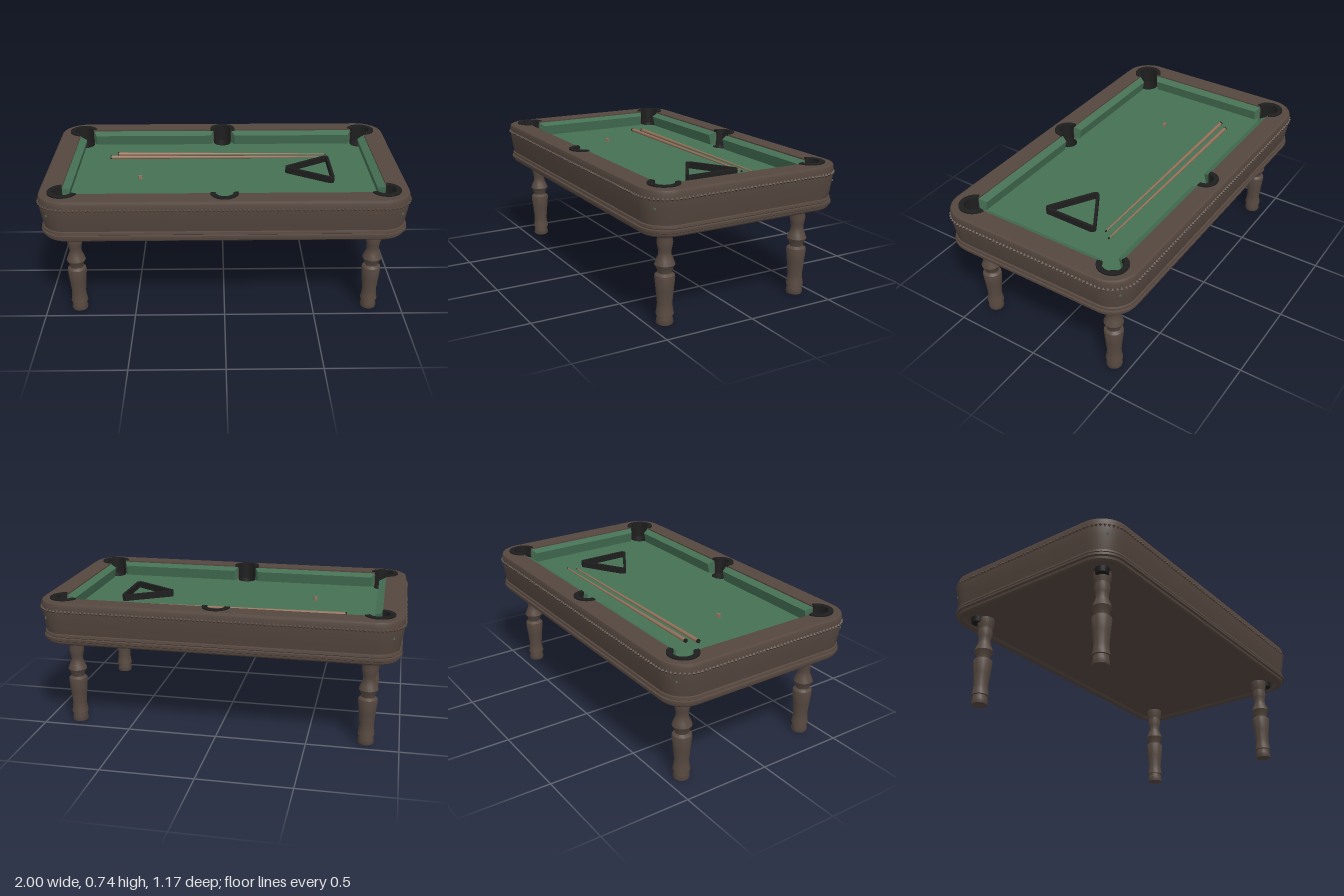
import * as THREE from 'three';
import { mergeGeometries, toCreasedNormals } from 'three/addons/utils/BufferGeometryUtils.js';

const HX = 0.99, HZ = 0.573, RADIUS = 0.15;   // outer body half sizes and corner radius
const BED_X = 0.87, BED_Z = 0.46;             // playing area half sizes
const TOP = 0.737, BED_Y = 0.65;

const wood = new THREE.MeshStandardMaterial({ color: 0x55473f, side: THREE.DoubleSide });
const cloth = new THREE.MeshStandardMaterial({ color: 0x457054 });
const black = new THREE.MeshStandardMaterial({ color: 0x1e1e1e, side: THREE.DoubleSide });
const cueWood = new THREE.MeshStandardMaterial({ color: 0x94715a });
wood.name = 'darkWood'; cloth.name = 'greenCloth'; black.name = 'black'; cueWood.name = 'cueWood';

// Rounded rectangle outline, counter-clockwise, pulled in by inset
function outline(inset, n = 10) {
  const r = RADIUS - inset, pts = [];
  [[1, 1], [-1, 1], [-1, -1], [1, -1]].forEach(([sx, sy], q) => {
    for (let i = 0; i <= n; i++) {
      const a = (q + i / n) * Math.PI / 2;
      pts.push(new THREE.Vector2(sx * (HX - RADIUS) + r * Math.cos(a), sy * (HZ - RADIUS) + r * Math.sin(a)));
    }
  });
  return pts;
}

// Skin through outlines at [height, inset] levels, listed downwards
function loft(levels) {
  const pos = [], index = [], n = outline(0).length;
  levels.forEach(([y, inset]) => outline(inset).forEach(p => pos.push(p.x, y, -p.y)));
  for (let j = 0; j < levels.length - 1; j++) {
    for (let i = 0; i < n; i++) {
      const k = (i + 1) % n, u = j * n, d = u + n;
      index.push(d + i, d + k, u + k, d + i, u + k, u + i);
    }
  }
  const g = new THREE.BufferGeometry();
  g.setAttribute('position', new THREE.Float32BufferAttribute(pos, 3));
  g.setIndex(index);
  return toCreasedNormals(g, 0.5);
}

// Flat shape (x, -z) extruded upwards from height y
function slab(shape, y, depth) {
  return new THREE.ExtrudeGeometry(shape, { depth, bevelEnabled: false, curveSegments: 16 })
    .rotateX(-Math.PI / 2).translate(0, y, 0);
}

// Six pockets, counter-clockwise, with the arc that cuts into the rail
function makePockets() {
  const cx = 0.857, cy = 0.437, r = 0.062;
  const ex = BED_X - cx, ey = BED_Z - cy;
  const a0 = -Math.acos(ex / r), a1 = Math.PI - Math.asin(ey / r);
  const half = [
    { x: cx, y: cy, r, a0, a1 },
    { x: 0, y: 0.465, r: 0.055, a0: -0.09, a1: Math.PI + 0.09 },
    { x: -cx, y: cy, r, a0: Math.PI - a1, a1: Math.PI - a0 },
  ];
  return [...half, ...half.map(p => ({ x: -p.x, y: -p.y, r: p.r, a0: p.a0 + Math.PI, a1: p.a1 + Math.PI }))];
}

// Cushion with bevelled ends and an undercut nose towards +z
function cushion(a, b) {
  const g = new THREE.BoxGeometry(1, 1, 1), p = g.attributes.position;
  for (let i = 0; i < p.count; i++) {
    const nose = p.getZ(i) > 0, up = p.getY(i) > 0, cut = nose ? 0.02 : 0;
    p.setXYZ(i, p.getX(i) < 0 ? a + cut : b - cut,
      up ? (nose ? 0.712 : 0.73) : BED_Y - 0.002,
      nose ? (up ? 0.04 : 0.025) : -0.002);
  }
  g.computeVertexNormals();
  return g;
}

// Triangle with round corners
function roundTriangle(Type, r) {
  const v = [[0.38, 0], [0.605, -0.137], [0.605, 0.137]], s = new Type();
  const normal = (p, q) => Math.atan2(q[1] - p[1], q[0] - p[0]) - Math.PI / 2;
  v.forEach((c, i) => s.absarc(c[0], c[1], r, normal(v[(i + 2) % 3], c), normal(c, v[(i + 1) % 3]), false));
  s.closePath();
  return s;
}

export function createModel() {
  const model = new THREE.Group();
  const add = (name, geometry, material, parent = model) => {
    const m = new THREE.Mesh(geometry, material);
    m.name = name;
    parent.add(m);
    return m;
  };
  const pockets = makePockets();

  // Cabinet sides with mouldings, folding under to the rim
  add('cabinet', loft([
    [TOP, 0.014], [0.733, 0.005], [0.722, 0.001], [0.69, 0], [0.64, 0.006], [0.59, 0.014], [0.56, 0.02],
    [0.557, 0.012], [0.545, 0.01], [0.54, 0.017], [0.537, 0.006], [0.525, 0.006], [0.52, 0.016],
    [0.508, 0.018], [0.5, 0.026], [0.5, 0.055], [0.515, 0.065],
  ]), wood);
  add('undersidePanel', new THREE.ShapeGeometry(new THREE.Shape(outline(0.06)))
    .rotateX(Math.PI / 2).translate(0, 0.514, 0), wood);

  // Top rail, cut out for the playing area and pockets
  const railShape = new THREE.Shape(outline(0.014));
  const opening = new THREE.Path();
  pockets.forEach(p => opening.absarc(p.x, p.y, p.r, p.a0, p.a1, false));
  opening.closePath();
  railShape.holes.push(opening);
  add('topRail', slab(railShape, BED_Y - 0.005, TOP - BED_Y + 0.005), wood);

  // Row of small studs round the cabinet
  const path = new THREE.Shape(outline(0));
  path.closePath();
  add('studTrim', mergeGeometries(path.getSpacedPoints(270).slice(0, -1).map(p =>
    new THREE.OctahedronGeometry(0.0105).translate(p.x, 0.692, -p.y))), wood);

  // Cloth bed with pocket holes
  const bed = new THREE.Shape([[-0.94, -0.535], [0.94, -0.535], [0.94, 0.535], [-0.94, 0.535]]
    .map(p => new THREE.Vector2(...p)));
  pockets.forEach(p => bed.holes.push(new THREE.Path().absarc(p.x, p.y, p.r - 0.002, 0, Math.PI * 2, true)));
  add('bed', slab(bed, BED_Y - 0.01, 0.01), cloth);

  // Cushions: two on each long side, one on each end
  for (const turn of [0, Math.PI]) {
    for (const [a, b] of [[-0.8, -0.055], [0.055, 0.8]]) {
      add('longCushion', cushion(a, b).translate(0, 0, -BED_Z).rotateY(turn), cloth);
    }
    add('endCushion', cushion(-0.375, 0.375).translate(0, 0, -BED_X).rotateY(turn + Math.PI / 2), cloth);
  }

  // Pockets: collar on the rail, liner above the bed, basket below
  pockets.forEach(p => {
    const g = new THREE.Group();
    g.name = 'pocket';
    g.position.set(p.x, 0, -p.y);
    const collar = new THREE.Shape();
    collar.absarc(0, 0, p.r + 0.02, p.a0, p.a1, false);
    collar.absarc(0, 0, p.r - 0.008, p.a1, p.a0, true);
    collar.closePath();
    add('pocketCollar', slab(collar, TOP - 0.015, 0.022), black, g);
    add('pocketLiner', new THREE.CylinderGeometry(p.r - 0.003, p.r - 0.003, 0.1, 20, 1, true,
      p.a0 + Math.PI / 2, p.a1 - p.a0).translate(0, 0.69, 0), black, g);
    const bottom = p.x ? 0.485 : 0.53;
    add('pocketBasket', new THREE.CylinderGeometry(p.r - 0.002, 0.034, BED_Y - bottom, 20, 1, true)
      .translate(0, (BED_Y + bottom) / 2, 0), black, g);
    add('pocketBottom', new THREE.CircleGeometry(0.034, 20).rotateX(-Math.PI / 2)
      .translate(0, bottom, 0), black, g);
    model.add(g);
  });

  // Turned legs
  const legProfile = [
    [0, 0], [0.042, 0], [0.045, 0.01], [0.041, 0.03], [0.039, 0.05], [0.047, 0.052], [0.042, 0.08], [0.039, 0.11],
    [0.046, 0.18], [0.053, 0.25], [0.051, 0.26], [0.036, 0.272], [0.04, 0.29], [0.053, 0.315], [0.044, 0.34],
    [0.035, 0.36], [0.033, 0.38], [0.036, 0.4], [0.042, 0.43], [0.038, 0.455], [0.046, 0.475], [0.048, 0.516],
  ].map(p => new THREE.Vector2(...p));
  const legGeometry = toCreasedNormals(new THREE.LatheGeometry(legProfile, 18), 0.6);
  for (const x of [-0.82, 0.82]) {
    for (const z of [-0.41, 0.41]) add('leg', legGeometry, wood).position.set(x, 0, z);
  }

  // Ball rack
  const rack = roundTriangle(THREE.Shape, 0.021);
  rack.holes.push(roundTriangle(THREE.Path, 0.005));
  add('ballRack', slab(rack, BED_Y, 0.036), black);

  // Two cues lying on the cloth, thick ends to -x
  for (const [x0, x1, z0, z1] of [[-0.635, 0.625, -0.257, -0.252], [-0.675, 0.585, -0.207, -0.207]]) {
    const cue = new THREE.Group(), len = x1 - x0;
    cue.name = 'cue';
    const stick = (name, from, to, r0, r1, mat) => add(name,
      new THREE.CylinderGeometry(r1, r0, to - from, 10).rotateZ(-Math.PI / 2).translate((from + to) / 2, 0, 0), mat, cue);
    stick('cueButtCap', 0, 0.008, 0.011, 0.011, black);
    stick('cueShaft', 0.008, len - 0.008, 0.011, 0.0045, cueWood);
    stick('cueTip', len - 0.008, len, 0.0045, 0.004, black);
    cue.position.set(x0, BED_Y + 0.011, z0);
    cue.rotation.set(0, -Math.atan2(z1 - z0, len), -0.005);
    model.add(cue);
  }

  // Chalk cube
  const chalk = add('chalk', new THREE.BoxGeometry(0.018, 0.018, 0.018), cueWood);
  chalk.position.set(-0.475, BED_Y + 0.009, 0.078);
  chalk.rotation.y = 0.3;

  return model;
}
